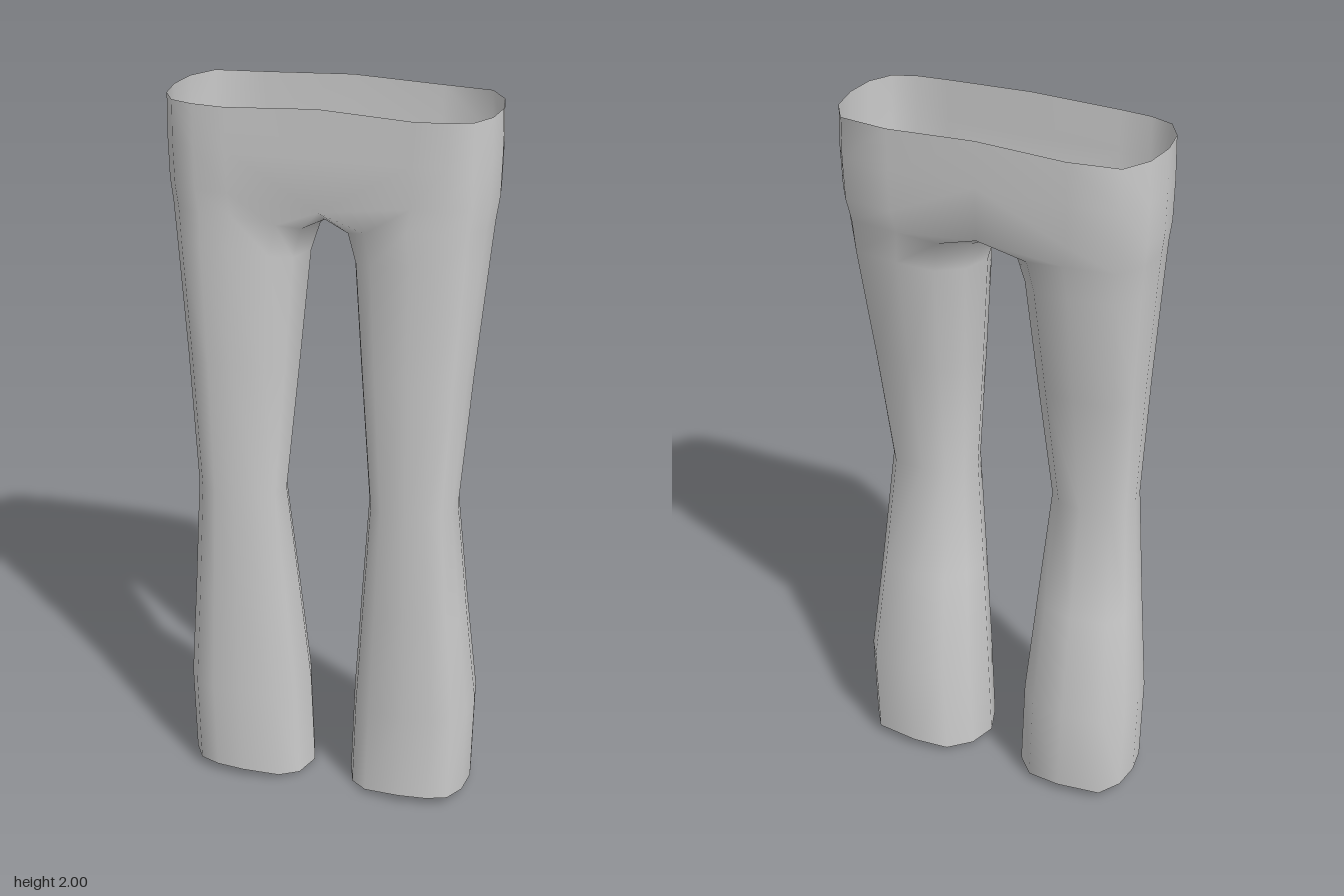
import * as THREE from 'three';
import { mergeVertices } from 'three/addons/utils/BufferGeometryUtils.js';

// Unit cross-section of a leg: [u inner..outer, v back..front, share of inner height]
// The first ten points run round the outside, the last three close the inseam.
const PROFILE = [
  [-0.55, -0.88, 0.4], [0, -1, 0], [0.7, -0.9, 0], [0.93, -0.5, 0], [1, 0, 0],
  [0.95, 0.48, 0], [0.77, 0.82, 0], [0.45, 0.95, 0], [0, 1, 0], [-0.58, 0.9, 0.4],
  [-0.86, 0.6, 0.85], [-1, 0.08, 1], [-0.86, -0.45, 0.85],
];
const OUTER = 10;

// Levels from hem to waist; from the crotch up the inseam points lie on x = 0
const LEVELS = [
  { y: 0.025, inner: 0.0, x: [0.055, 0.407], z: [-0.14, 0.165] },
  { y: 0.29, inner: 0.28, x: [0.065, 0.412], z: [-0.14, 0.165] },
  { y: 0.6, inner: 0.6, x: [0.09, 0.384], z: [-0.088, 0.168] },
  { y: 0.93, inner: 0.92, x: [0.116, 0.357], z: [-0.036, 0.17] },
  { y: 1.3, inner: 1.28, x: [0.084, 0.382], z: [-0.095, 0.168] },
  { y: 1.62, inner: 1.59, x: [0.058, 0.408], z: [-0.147, 0.167] },
  { y: 1.71, inner: 1.665, x: [0.034, 0.416], z: [-0.157, 0.166] },
  { y: 1.77, inner: 1.69, x: [0.045, 0.424], z: [-0.168, 0.166], joined: true },
  { y: 1.88, inner: 1.88, x: [0.045, 0.426], z: [-0.173, 0.168], joined: true },
  { y: 1.99, inner: 2.015, x: [0.045, 0.423], z: [-0.173, 0.17], joined: true },
];

function addHalf(side, positions, indices) {
  const base = positions.length / 3;
  const n = PROFILE.length;
  for (const { y, inner, x, z, joined } of LEVELS) {
    PROFILE.forEach(([u, v, share], i) => {
      const seam = joined && (i === 0 || i >= OUTER - 1);
      const px = seam ? 0 : (x[0] + x[1]) / 2 + (u * (x[1] - x[0])) / 2;
      // waist and seat stay flat towards the centre seam
      const vv = joined && i === 0 ? -1 : joined && i === OUTER - 1 ? 0.95 : v;
      const pz = (z[0] + z[1]) / 2 + (vv * (z[1] - z[0])) / 2;
      positions.push(side * px, y + (inner - y) * share, pz);
    });
  }
  for (let r = 0; r < LEVELS.length - 1; r++) {
    // above the crotch only the outside continues
    const count = LEVELS[r].joined ? OUTER - 1 : n;
    for (let i = 0; i < count; i++) {
      const a = base + r * n + i;
      const b = base + r * n + ((i + 1) % n);
      const c = a + n;
      const d = b + n;
      if (side > 0) indices.push(a, c, b, b, c, d);
      else indices.push(a, b, c, b, d, c);
    }
  }
}

export function createModel() {
  const group = new THREE.Group();
  group.name = 'trousers';

  // Both legs and the seat form one open cloth surface, welded down the middle
  const positions = [];
  const indices = [];
  for (const side of [1, -1]) addHalf(side, positions, indices);

  let cloth = new THREE.BufferGeometry();
  cloth.setAttribute('position', new THREE.Float32BufferAttribute(positions, 3));
  cloth.setIndex(indices);
  cloth = mergeVertices(cloth, 1e-4);
  cloth.computeVertexNormals();

  const mesh = new THREE.Mesh(
    cloth,
    new THREE.MeshStandardMaterial({ color: 0xcccccc, side: THREE.DoubleSide }),
  );
  mesh.name = 'trouserCloth';
  group.add(mesh);
  return group;
}
